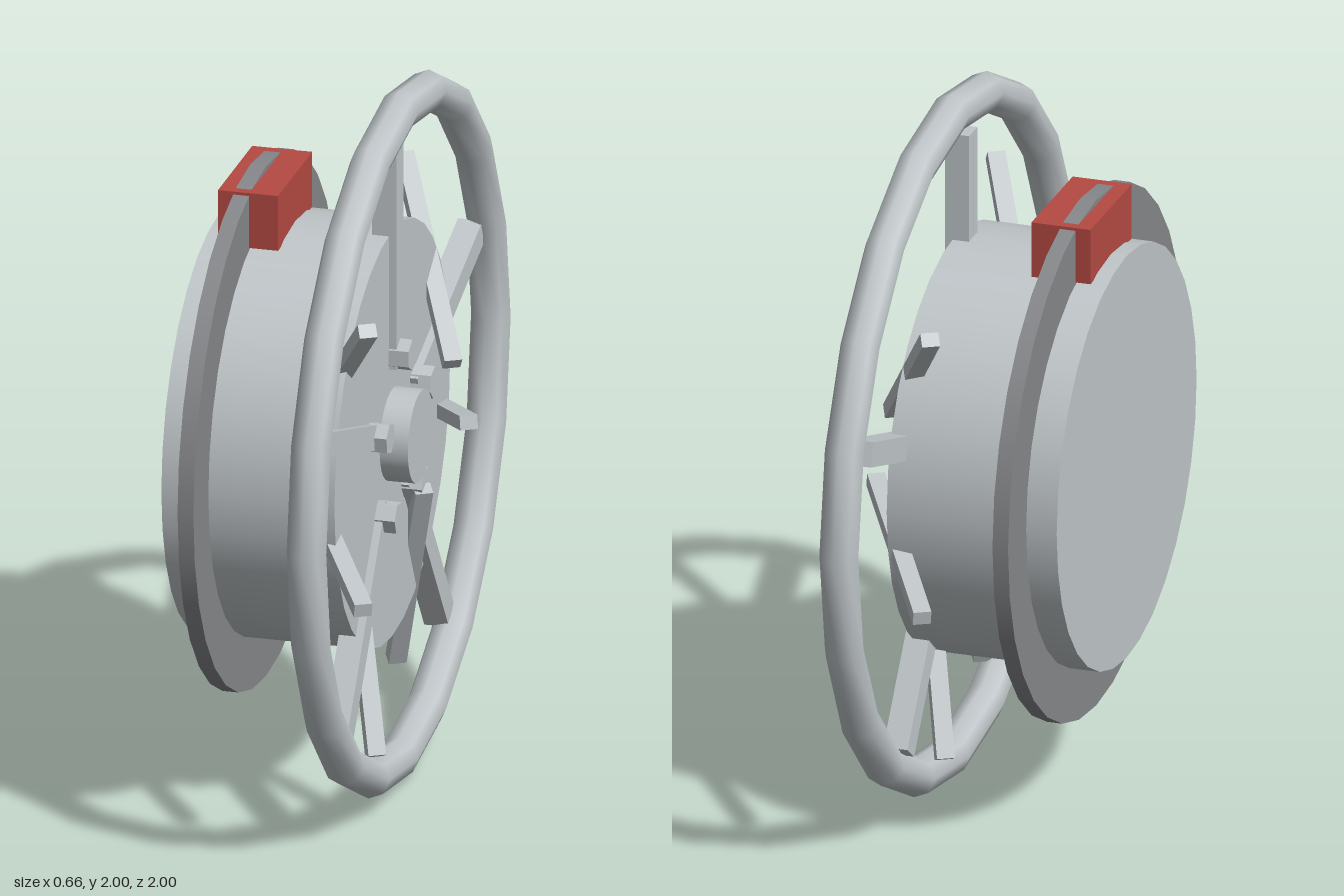
import * as THREE from 'three';

function material(name, color) {
  const m = new THREE.MeshStandardMaterial({ color });
  m.name = name;
  return m;
}

// Cylinder lying along x, spanning x0 to x1
function axle(radius, x0, x1, sides) {
  const g = new THREE.CylinderGeometry(radius, radius, x1 - x0, sides);
  return g.rotateZ(-Math.PI / 2).translate((x0 + x1) / 2, 0, 0);
}

export function createModel() {
  const model = new THREE.Group();
  model.name = 'wheel';
  const wheel = new THREE.Group();
  wheel.name = 'wheelAssembly';
  wheel.position.y = 1;
  model.add(wheel);

  const silver = material('silver', 0xc0c6c9);
  const darkGrey = material('dark grey', 0x87888b);
  const red = material('red', 0xb54a42);

  function add(name, geometry, mat, parent = wheel) {
    const mesh = new THREE.Mesh(geometry, mat);
    mesh.name = name;
    parent.add(mesh);
    return mesh;
  }

  // Rim, drum, hub cap and brake disc share the x axis
  const rim = new THREE.TorusGeometry(0.944, 0.056, 8, 20);
  rim.rotateZ(Math.PI / 2).rotateY(Math.PI / 2).translate(0.173, 0, 0);
  add('rim', rim, silver);
  add('drum', axle(0.592, -0.335, 0.155, 32), silver);
  add('hubCap', axle(0.13, 0.13, 0.235, 32), silver);
  add('brakeDisc', axle(0.745, -0.247, -0.202, 32), darkGrey);

  // Brake caliper straddling the top of the disc
  const caliper = new THREE.BoxGeometry(0.17, 0.16, 0.35).translate(-0.205, 0.65, 0);
  add('brakeCaliper', caliper, red);

  // Five flat spokes, each with a hexagonal bolt near the hub
  const spoke = new THREE.BoxGeometry(0.07, 0.7, 0.07).translate(0.142, 0.55, 0);
  let bolt = axle(0.045, 0.15, 0.212, 6).rotateX(Math.PI / 6);
  bolt = bolt.translate(0, 0.235, 0).toNonIndexed();
  bolt.computeVertexNormals();
  for (let i = 0; i < 5; i++) {
    const arm = new THREE.Group();
    arm.name = 'spokeArm';
    arm.rotation.x = (i * Math.PI * 2) / 5;
    add('spoke', spoke, silver, arm);
    add('bolt', bolt, silver, arm);
    wheel.add(arm);
  }

  // Seven slim vanes, all turned 30 degrees about the upright axis
  const vane = new THREE.BoxGeometry(0.05, 0.67, 0.04);
  for (let i = 0; i < 7; i++) {
    const a = (i * Math.PI * 2) / 7;
    const mesh = add('vane', vane, silver);
    mesh.position.set(0.137, 0.555 * Math.cos(a), 0.555 * Math.sin(a));
    mesh.rotation.set(a, Math.PI / 6, 0, 'YXZ');
  }
  return model;
}
